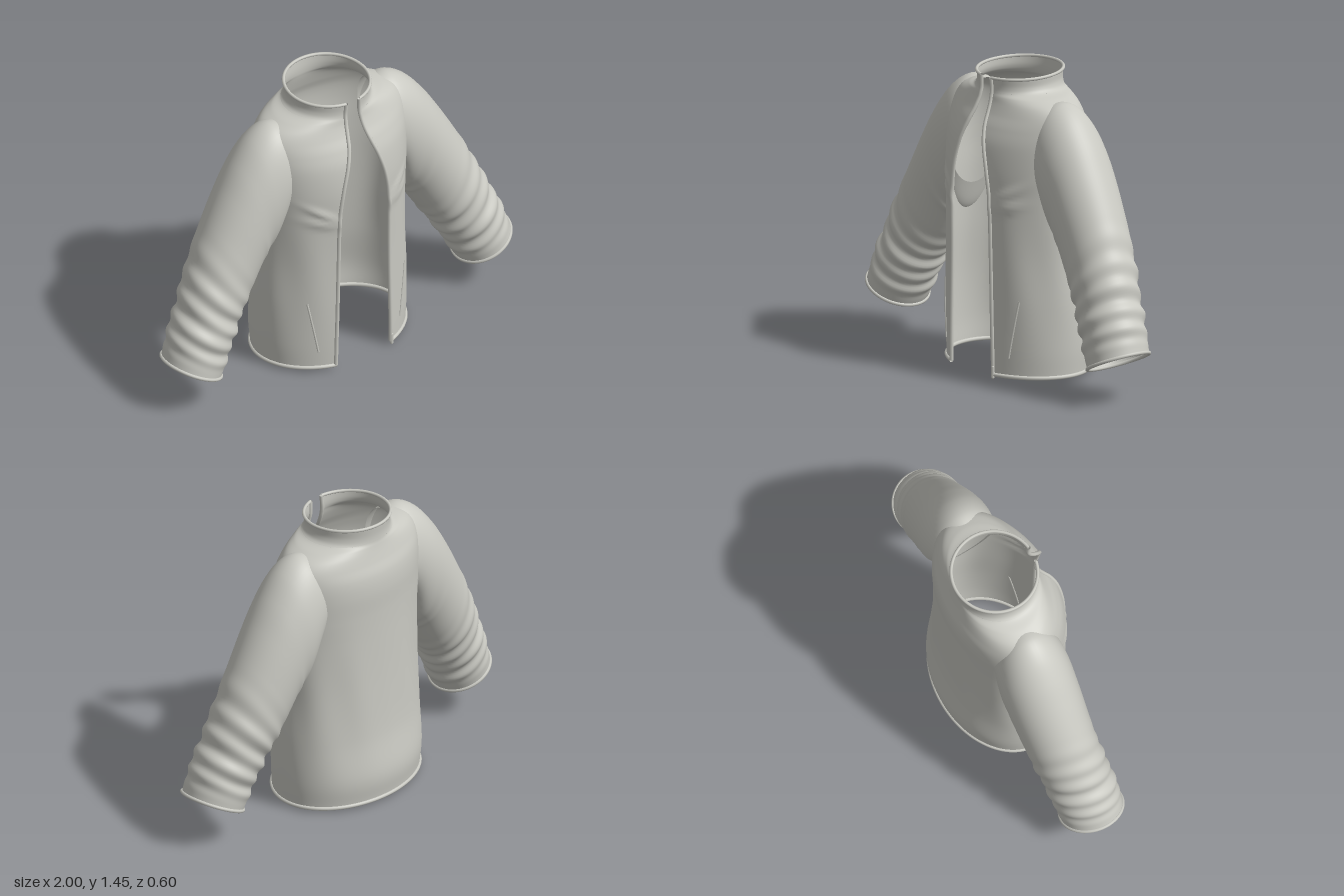
import * as THREE from 'three';

const cloth = new THREE.MeshStandardMaterial({ color: 0xc9c9c2, side: THREE.DoubleSide });
cloth.name = 'grey cloth';

const V = (x, y, z) => new THREE.Vector3(x, y, z);

// Smooth interpolation through rows of numbers, u in 0..1
function smoothRows(rows) {
  const curve = (k) => new THREE.CatmullRomCurve3(
    rows.map((r) => V(r[k], r[k + 1] ?? 0, r[k + 2] ?? 0)), false, 'catmullrom', 0.5);
  const first = curve(0), second = curve(3);
  return (u) => [...first.getPoint(u).toArray(), ...second.getPoint(u).toArray()];
}

// Grid surface from a point rule; closed wraps around in v
function loft(name, point, nu, nv, closed) {
  const pos = [], index = [], cols = closed ? nv : nv + 1;
  for (let i = 0; i <= nu; i++) {
    for (let j = 0; j < cols; j++) pos.push(...point(i / nu, j / nv).toArray());
  }
  for (let i = 0; i < nu; i++) {
    for (let j = 0; j < nv; j++) {
      const k = (j + 1) % cols;
      const a = i * cols + j, b = i * cols + k, c = a + cols, d = b + cols;
      index.push(a, b, c, b, d, c);
    }
  }
  const geo = new THREE.BufferGeometry();
  geo.setAttribute('position', new THREE.Float32BufferAttribute(pos, 3));
  geo.setIndex(index);
  geo.computeVertexNormals();
  return named(name, geo);
}

function named(name, geo) {
  const mesh = new THREE.Mesh(geo, cloth);
  mesh.name = name;
  return mesh;
}

// Rounded edging along a point rule
function piping(name, point, radius, steps, closed = false) {
  const pts = [];
  for (let i = 0; i < steps + (closed ? 0 : 1); i++) pts.push(point(i / steps));
  const curve = new THREE.CatmullRomCurve3(pts, closed);
  return named(name, new THREE.TubeGeometry(curve, steps * 2, radius, 8, closed));
}

// Body rows: height, half width, front edge z, back z, half gap of the opening
const bodyRows = [
  [0.02, 0.400, 0.278, 0.285, 0.162],
  [0.15, 0.408, 0.280, 0.298, 0.160],
  [0.35, 0.408, 0.282, 0.272, 0.155],
  [0.60, 0.398, 0.284, 0.260, 0.150],
  [0.85, 0.400, 0.287, 0.255, 0.145],
  [1.00, 0.408, 0.290, 0.255, 0.125],
  [1.12, 0.412, 0.280, 0.258, 0.092],
  [1.20, 0.410, 0.255, 0.250, 0.066],
  [1.26, 0.398, 0.225, 0.230, 0.052],
  [1.305, 0.360, 0.206, 0.216, 0.046],
  [1.335, 0.295, 0.198, 0.208, 0.043],
  [1.355, 0.228, 0.194, 0.204, 0.042],
  [1.385, 0.206, 0.193, 0.203, 0.040],
  [1.43, 0.204, 0.196, 0.207, 0.038],
];
const bodyAt = smoothRows(bodyRows);
const neckU = 11 / 13;

// Point on the body: u goes up, angle runs round from the front centre
function bodyPoint(u, angle, lift = 0) {
  const [y, a, edge, back, gap] = bodyAt(u);
  const front = edge / Math.sqrt(1 - (gap / a) ** 2);
  const c = Math.cos(angle), s = Math.sin(angle);
  const p = V(a * s, y, (c > 0 ? front : back) * c);
  // Chest folds beside the opening and soft drape lower down
  const x = Math.abs(p.x);
  if (c > 0) {
    for (const [y0, slope] of [[0.85, 0.62], [0.82, 0.25]]) {
      const d = (y - y0 - (x - 0.15) * slope) / 0.022;
      lift += 0.010 * Math.exp(-d * d) * Math.exp(-(((x - 0.22) / 0.07) ** 2));
    }
  }
  lift += 0.003 * Math.sin(angle * 9 + y * 3) * Math.exp(-(((y - 0.55) / 0.3) ** 2))
    * Math.min(1, Math.abs(s) * 2);
  p.x += s * lift;
  p.z += c * lift;
  // Neckline is a little higher at the back
  if (u > neckU) p.y += (-p.z / 0.2) * 0.009 * (u - neckU) / (1 - neckU);
  return p;
}

function openAngle(u) {
  const [, a, , , gap] = bodyAt(u);
  return Math.asin(gap / a);
}

function aroundBody(u, v) {
  const start = openAngle(u);
  return bodyPoint(u, start + v * (2 * Math.PI - 2 * start));
}

// Row parameter for a given height
function uAtHeight(y) {
  let lo = 0, hi = 1;
  for (let i = 0; i < 30; i++) {
    const mid = (lo + hi) / 2;
    if (bodyAt(mid)[0] < y) lo = mid; else hi = mid;
  }
  return lo;
}

// Sleeve sections: upper x, y, middle z, lower x, y, half depth
const sleeveAt = smoothRows([
  [0.27, 1.325, 0.000, 0.355, 0.80, 0.165],
  [0.36, 1.332, 0.000, 0.380, 0.71, 0.176],
  [0.45, 1.280, 0.000, 0.398, 0.67, 0.180],
  [0.54, 1.175, 0.002, 0.416, 0.655, 0.178],
  [0.62, 1.050, 0.006, 0.445, 0.615, 0.175],
  [0.70, 0.910, 0.012, 0.487, 0.545, 0.170],
  [0.785, 0.75, 0.022, 0.540, 0.460, 0.165],
  [0.85, 0.605, 0.036, 0.590, 0.385, 0.160],
  [0.905, 0.48, 0.050, 0.635, 0.305, 0.158],
  [0.955, 0.37, 0.060, 0.678, 0.220, 0.157],
  [0.990, 0.265, 0.068, 0.722, 0.136, 0.152],
]);

function sleevePoint(side, u, v) {
  const [ox, oy, zc, ix, iy, zr] = sleeveAt(u);
  const t = v * Math.PI * 2, c = Math.cos(t), s = Math.sin(t);
  // Gathered folds on the forearm, easing off at the cuff
  const gather = THREE.MathUtils.smoothstep(u, 0.5, 0.72)
    * (1 - THREE.MathUtils.smoothstep(u, 0.88, 0.98));
  const fold = Math.sin(u * 78 + 1.6 * Math.sin(t + 0.6)) + 0.5 * Math.sin(u * 41 - 2 * c);
  const armpit = Math.exp(-(((u - 0.36) / 0.03) ** 2)) * Math.max(0, -c) * 0.03;
  const k = 1 + 0.04 * gather * fold + armpit;
  return V(
    side * ((ox + ix) / 2 + (ox - ix) / 2 * c * k),
    (oy + iy) / 2 + (oy - iy) / 2 * c * k,
    zc + side * zr * s * k);
}

export function createModel() {
  const jacket = new THREE.Group();
  jacket.name = 'jacket';

  // Body, collar and their edges
  jacket.add(loft('body', (u, v) => aroundBody(u * neckU, v), 110, 120, false));
  jacket.add(loft('collar', (u, v) => aroundBody(neckU + u * (1 - neckU), v), 14, 96, false));
  jacket.add(piping('hemEdge', (t) => aroundBody(0, t), 0.010, 60));
  jacket.add(piping('collarEdge', (t) => aroundBody(1, t), 0.008, 60));

  for (const side of [1, -1]) {
    const prefix = side > 0 ? 'left' : 'right';

    // Sleeve and cuff edge
    jacket.add(loft(prefix + 'Sleeve', (u, v) => sleevePoint(side, u, v), 110, 56, true));
    jacket.add(piping(prefix + 'CuffEdge', (t) => sleevePoint(side, 1, t), 0.009, 40, true));

    // Front zip tape along the opening
    jacket.add(piping(prefix + 'ZipTape', (t) => bodyPoint(t, side * openAngle(t)), 0.010, 60));

    // Slanted pocket seam
    jacket.add(piping(prefix + 'PocketSeam', (t) => {
      const u = uAtHeight(0.11 + 0.28 * t);
      const x = 0.24 + 0.045 * t;
      return bodyPoint(u, side * Math.asin(x / bodyAt(u)[1]), 0.001);
    }, 0.005, 16));
  }

  // Zip end hanging below the left front edge
  const zipEnd = named('zipEnd', new THREE.CapsuleGeometry(0.008, 0.05, 4, 8));
  zipEnd.position.set(0.165, 0.033, 0.282);
  jacket.add(zipEnd);

  return jacket;
}
